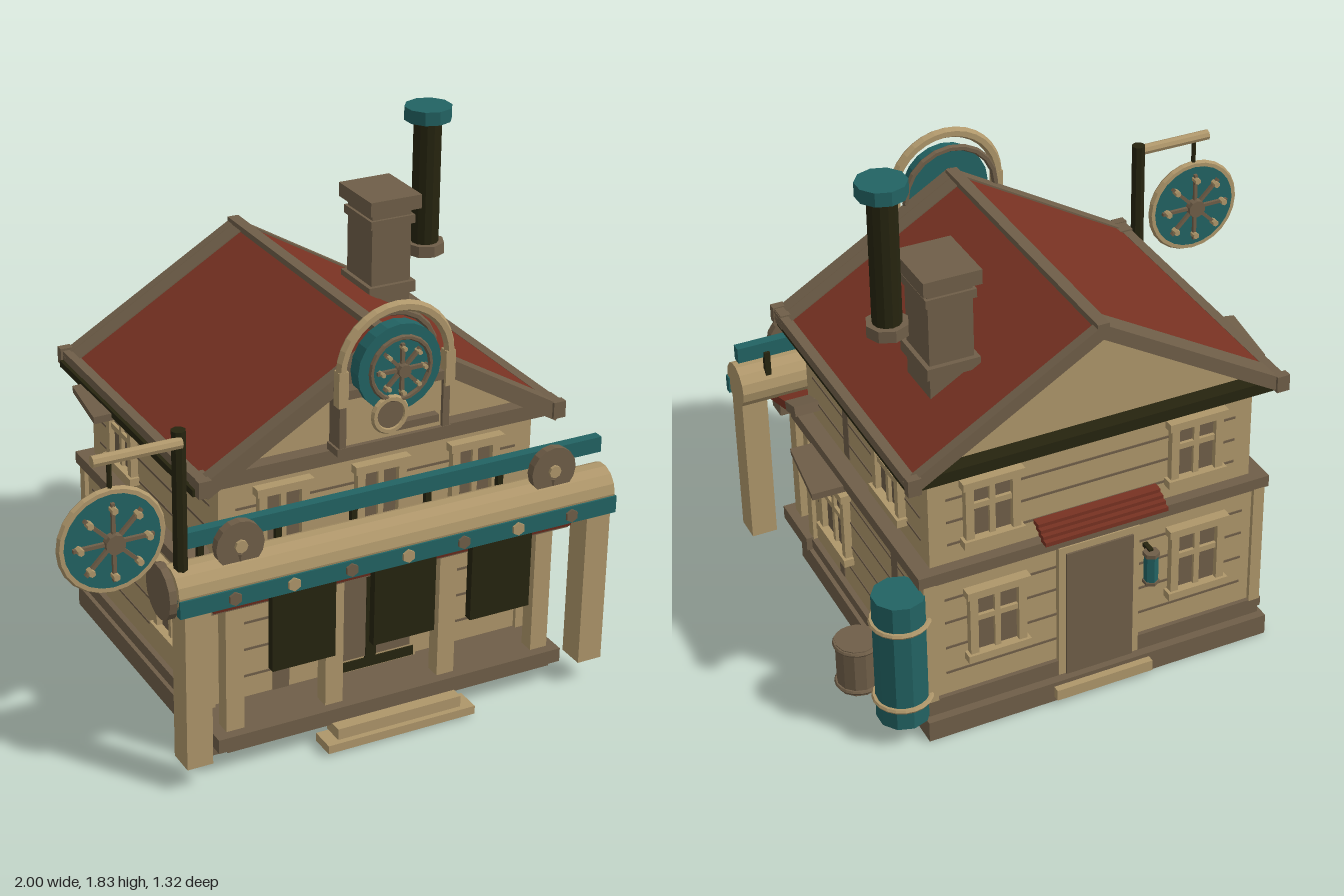
import * as THREE from 'three';

const mat = (name, color, flat = true) => {
  const m = new THREE.MeshStandardMaterial({ color, flatShading: flat });
  m.name = name;
  return m;
};

export function createModel() {
  const tan = mat('tan wood', 0xae966a), brown = mat('brown wood', 0x6f5e48), dark = mat('dark iron', 0x26240f);
  const teal = mat('teal paint', 0x226363), red = mat('red roof', 0x783222);
  const model = new THREE.Group();
  const CX = 0.175; // house centre line

  const add = (name, geo, m, x, y, z, parent = model) => {
    const mesh = new THREE.Mesh(geo, m);
    mesh.name = name;
    mesh.position.set(x, y, z);
    parent.add(mesh);
    return mesh;
  };
  // box given by its limits on each axis
  const box = (name, m, x0, x1, y0, y1, z0, z1, parent) =>
    add(name, new THREE.BoxGeometry(x1 - x0, y1 - y0, z1 - z0), m, (x0 + x1) / 2, (y0 + y1) / 2, (z0 + z1) / 2, parent);
  const cyl = (name, m, r, h, x, y, z, axis = 'y', sides = 12, parent = model, r2 = r) => {
    const c = add(name, new THREE.CylinderGeometry(r, r2, h, sides), m, x, y, z, parent);
    if (axis === 'x') c.rotation.z = Math.PI / 2;
    if (axis === 'z') c.rotation.x = Math.PI / 2;
    return c;
  };
  const torus = (name, m, r, t, x, y, z, parent = model, arc = Math.PI * 2, seg = 20) =>
    add(name, new THREE.TorusGeometry(r, t, 6, seg, arc), m, x, y, z, parent);
  const placed = (name, x, y, z, ry = 0) => {
    const g = new THREE.Group();
    g.name = name;
    g.position.set(x, y, z);
    g.rotation.y = ry;
    model.add(g);
    return g;
  };

  // foundation, deck and steps
  box('foundation', brown, -0.445, 0.795, 0, 0.075, -0.63, 0.475);
  box('deck', brown, -0.47, 0.81, 0.09, 0.14, 0.38, 0.6);
  box('deckCore', brown, -0.43, 0.78, 0.07, 0.1, -0.6, 0.58);
  box('wallSill', brown, -0.44, 0.79, 0.1, 0.135, -0.6, 0.4);
  box('lowerStep', tan, -0.1, 0.45, 0.01, 0.04, 0.56, 0.65);
  box('upperStep', tan, -0.055, 0.405, 0.04, 0.08, 0.55, 0.63);
  box('backStep', tan, 0.0, 0.35, 0.02, 0.06, -0.655, -0.6);

  // walls and belt course
  box('lowerWalls', tan, -0.42, 0.77, 0.1, 0.59, -0.585, 0.4);
  box('upperWalls', tan, -0.395, 0.745, 0.62, 0.98, -0.56, 0.45);
  box('beltCourse', brown, -0.45, 0.8, 0.588, 0.63, -0.6, 0.48);
  for (const x of [-0.415, 0.765]) for (const z of [-0.58, 0.395])
    box('cornerPost', tan, x - 0.02, x + 0.02, 0.13, 0.59, z - 0.02, z + 0.02);

  // plank seams on all sides
  const seam = (y, x0, x1, z0, z1) => {
    box('plankSeam', brown, x0 - 0.003, x1 + 0.003, y - 0.004, y + 0.004, z0 + 0.06, z1 - 0.06);
    box('plankSeam', brown, x0 + 0.06, x1 - 0.06, y - 0.004, y + 0.004, z0 - 0.003, z1 + 0.003);
  };
  [0.22, 0.32, 0.42, 0.51].forEach(y => seam(y, -0.42, 0.77, -0.585, 0.4));
  [0.7, 0.785, 0.87].forEach(y => seam(y, -0.395, 0.745, -0.56, 0.45));

  // worn patches
  box('wallPatch', brown, 0.74, 0.748, 0.64, 0.96, 0.08, 0.125);
  box('wallPatch', brown, 0.765, 0.773, 0.26, 0.58, -0.36, -0.31);
  box('wallPatch', brown, 0.765, 0.773, 0.14, 0.3, 0.12, 0.16);
  box('wallPatch', brown, -0.18, -0.12, 0.14, 0.24, 0.396, 0.404);

  // windows with frame, cross bars and sill
  const windowAt = (x, y, z, ry, w, h) => {
    const g = placed('window', x, y, z, ry), a = w / 2, b = h / 2;
    box('pane', brown, -a, a, -b, b, -0.002, 0.006, g);
    for (const s of [-1, 1]) {
      box('frameSide', tan, s * a - 0.014, s * a + 0.014, -b, b, 0, 0.026, g);
      box('frameRail', tan, -a - 0.025, a + 0.025, s * b - 0.014, s * b + 0.014, 0, 0.036, g);
    }
    box('mullion', tan, -0.01, 0.01, -b, b, 0, 0.018, g);
    box('crossBar', tan, -a, a, 0.01, 0.03, 0, 0.018, g);
  };
  for (const dx of [-0.35, 0, 0.35]) windowAt(CX + dx, 0.815, 0.45, 0, 0.15, 0.22);
  for (const dx of [-0.36, 0.36]) {
    windowAt(CX + dx, 0.395, -0.585, Math.PI, 0.17, 0.25);
    windowAt(CX + dx, 0.81, -0.56, Math.PI, 0.16, 0.22);
  }
  for (const s of [-1, 1]) {
    windowAt(CX + s * 0.595, 0.395, 0.155, s * Math.PI / 2, 0.2, 0.26);
    windowAt(CX + s * 0.57, 0.81, -0.28, s * Math.PI / 2, 0.18, 0.22);
  }
  // small shades over side windows
  box('rightShade', brown, 0.75, 0.89, 0.57, 0.594, 0.015, 0.295).rotation.set(0, -0.12, -0.08);
  box('leftShade', brown, -0.54, -0.39, 0.955, 0.98, -0.41, -0.15).rotation.set(0, -0.12, 0.08);

  // front doors
  box('doorFrame', tan, 0, 0.35, 0.14, 0.585, 0.39, 0.415);
  for (const s of [-1, 1]) box('doorLeaf', brown, CX + s * 0.085 - 0.065, CX + s * 0.085 + 0.065, 0.19, 0.56, 0.4, 0.421);
  box('doorGap', dark, CX - 0.02, CX + 0.02, 0.18, 0.56, 0.41, 0.422);
  box('doorFoot', dark, 0.01, 0.34, 0.145, 0.18, 0.41, 0.42);

  // back door with red canopy
  box('backDoorFrame', tan, 0.03, 0.32, 0.08, 0.59, -0.605, -0.58);
  box('backDoor', brown, 0.055, 0.295, 0.08, 0.565, -0.612, -0.59);
  for (let i = 0; i < 4; i++)
    box('backCanopy', red, -0.045, 0.39, 0.655 + i * 0.012, 0.67 + i * 0.012, -0.655 + i * 0.018, -0.62 + i * 0.018);

  // lanterns
  for (const [x, y, z, s] of [[0.73, 0.455, 0.45, 1], [0.0, 0.43, -0.63, -1]]) {
    cyl('lantern', teal, 0.024, 0.1, x, y, z, 'y', 6);
    cyl('lanternCap', brown, 0.028, 0.015, x, y + 0.055, z, 'y', 6);
    cyl('lanternBase', brown, 0.028, 0.012, x, y - 0.055, z, 'y', 6);
    box('lanternBracket', dark, x - 0.008, x + 0.008, y + 0.055, y + 0.07, Math.min(z, z - s * 0.06), Math.max(z, z - s * 0.06));
  }

  // porch columns, sloped roof, beam and posts
  for (const x of [-0.395, -0.038, 0.38, 0.745]) box('porchColumn', tan, x - 0.032, x + 0.032, 0.14, 0.62, 0.51, 0.565);
  box('porchRoof', red, -0.48, 0.83, 0.634, 0.665, 0.39, 0.6).rotation.x = 0.3;
  box('porchRoofEdge', brown, -0.482, 0.832, 0.665, 0.7, 0.345, 0.44).rotation.x = 0.3;
  box('porchLintel', brown, -0.48, 0.83, 0.59, 0.635, 0.5, 0.575);
  cyl('porchBeam', tan, 0.078, 1.58, 0.17, 0.717, 0.567, 'x', 14);
  cyl('beamEndCap', brown, 0.092, 0.03, -0.63, 0.7, 0.54, 'x', 14);
  for (const x of [-0.555, 0.905]) box('bigPost', tan, x - 0.045, x + 0.045, 0.09, 0.71, 0.543, 0.64);
  box('fasciaStrip', teal, -0.62, 0.965, 0.65, 0.71, 0.625, 0.65);
  for (let i = 0; i < 7; i++) cyl('fasciaStud', i % 2 ? tan : brown, 0.023, 0.014, -0.435 + i * 0.204, 0.68, 0.652, 'z', 6);
  box('upperStrip', teal, -0.56, 0.96, 0.83, 0.885, 0.515, 0.55);
  for (let i = 0; i < 6; i++) box('stripSupport', dark, -0.5 + i * 0.27, -0.48 + i * 0.27, 0.76, 0.85, 0.505, 0.525);
  for (const x of [-0.395, 0.74]) {
    cyl('roundel', brown, 0.083, 0.03, x, 0.835, 0.595, 'z', 16);
    cyl('roundelHub', tan, 0.022, 0.03, x, 0.835, 0.605, 'z', 8);
    cyl('roundelStem', brown, 0.02, 0.09, x, 0.76, 0.595, 'y', 6, model, 0.008);
  }
  // hanging cloths
  for (const x of [-0.19, 0.173, 0.532]) box('hangingCloth', dark, x - 0.112, x + 0.112, 0.375, 0.655, 0.615, 0.645);

  // gable walls
  const tri = new THREE.Shape([new THREE.Vector2(-0.6, 0), new THREE.Vector2(0.6, 0), new THREE.Vector2(0, 0.36)]);
  add('gable', new THREE.ExtrudeGeometry(tri, { depth: 0.99, bevelEnabled: false }), tan, CX, 0.98, -0.55);
  box('frontGableBeam', brown, -0.485, 0.83, 0.975, 1.025, 0.43, 0.49);
  box('backGableBeam', dark, -0.47, 0.82, 0.965, 1.005, -0.605, -0.55);

  // roof slabs: boxes lying along each slope
  const slope = 0.5315, len = 0.76;
  const slab = (name, m, s, z0, z1, thick, lift = 0) => {
    const g = placed(name, CX, 1.385, 0);
    g.rotation.z = -s * slope;
    box(name, m, s > 0 ? 0 : -len, s > 0 ? len : 0, lift - thick, lift, z0, z1, g);
  };
  for (const s of [-1, 1]) {
    slab('roofSlab', red, s, -0.6, 0.49, 0.03);
    slab('frontRake', brown, s, 0.455, 0.505, 0.055, 0.006);
    slab('backRake', brown, s, -0.62, -0.585, 0.045, 0.006);
    const ex = CX + s * 0.64;
    box('eaveBoard', brown, ex - 0.017, ex + 0.017, 0.985, 1.02, -0.62, 0.5);
    box('eaveUnderside', dark, ex - 0.03, ex + 0.012, 0.965, 0.988, -0.6, 0.48);
    for (const z of [-0.615, 0.5]) box('eaveEnd', brown, ex - 0.025, ex + 0.02, 0.97, 1.028, z - 0.015, z + 0.015);
  }
  slab('frontRoofBand', brown, 1, 0.4, 0.5, 0.03, 0.004);
  slab('backRoofBand', brown, -1, -0.61, -0.52, 0.03, 0.004);
  box('ridgeBeam', brown, CX - 0.02, CX + 0.02, 1.35, 1.395, -0.62, 0.49);

  // chimney
  box('chimneyStack', brown, 0.49, 0.64, 1.08, 1.51, -0.365, -0.19);
  box('chimneyBand', brown, 0.475, 0.655, 1.19, 1.23, -0.382, -0.175);
  box('chimneyNeck', brown, 0.48, 0.65, 1.44, 1.47, -0.375, -0.18);
  box('chimneyCap', brown, 0.47, 0.665, 1.495, 1.545, -0.395, -0.165);

  // stove pipe
  cyl('pipe', dark, 0.048, 0.48, 0.72, 1.55, -0.235);
  cyl('pipeCollar', brown, 0.07, 0.04, 0.72, 1.325, -0.235, 'y', 8);
  cyl('pipeCap', teal, 0.082, 0.047, 0.72, 1.807, -0.235, 'y', 10);

  // tank and barrel beside the house
  cyl('tank', teal, 0.088, 0.48, 0.85, 0.325, -0.553, 'y', 10);
  for (const y of [0.165, 0.465]) torus('tankHoop', tan, 0.092, 0.009, 0.85, y, -0.553).rotation.x = Math.PI / 2;
  cyl('barrel', brown, 0.072, 0.18, 0.918, 0.17, -0.345);
  for (const y of [0.095, 0.25]) torus('barrelHoop', brown, 0.072, 0.008, 0.918, y, -0.345).rotation.x = Math.PI / 2;

  // spoked wheel, decorated on the chosen faces
  const wheel = (g, r, sides) => {
    for (const s of sides) {
      for (let i = 0; i < 8; i++) {
        const a = i * Math.PI / 4, c = Math.cos(a), n = Math.sin(a);
        box('spoke', brown, -r * 0.4, r * 0.4, -0.006, 0.006, -0.006, 0.006, g).position.set(c * r * 0.4, n * r * 0.4, s * 0.02);
        g.children[g.children.length - 1].rotation.z = a;
        cyl('spokeStud', tan, r * 0.07, 0.03, c * r * 0.68, n * r * 0.68, s * 0.026, 'z', 6, g);
      }
      cyl('hub', brown, r * 0.2, 0.03, 0, 0, s * 0.026, 'z', 10, g);
    }
  };

  // hanging sign on its pole
  cyl('signPole', dark, 0.024, 0.48, -0.585, 1.02, 0.58, 'y', 8);
  cyl('signArm', tan, 0.019, 0.29, -0.73, 1.227, 0.6, 'x', 8);
  cyl('signHanger', dark, 0.008, 0.1, -0.82, 1.165, 0.6, 'y', 6);
  const sign = placed('hangingSign', -0.82, 0.955, 0.6);
  cyl('signDisc', teal, 0.165, 0.024, 0, 0, 0, 'z', 24, sign);
  torus('signRim', tan, 0.165, 0.014, 0, 0, 0, sign, Math.PI * 2, 24);
  wheel(sign, 0.165, [1, -1]);

  // gable ornament: backing panel, arch, wheel and crank
  box('ornamentPanel', tan, -0.015, 0.365, 1.04, 1.23, 0.48, 0.535);
  box('panelFoot', brown, -0.03, 0.38, 1.03, 1.055, 0.48, 0.55);
  box('panelTop', brown, -0.02, 0.37, 1.22, 1.25, 0.48, 0.55);
  for (const s of [-1, 1]) {
    box('panelSide', brown, CX + s * 0.185 - 0.012, CX + s * 0.185 + 0.012, 1.04, 1.25, 0.48, 0.548);
    box('archLeg', tan, CX + s * 0.19 - 0.017, CX + s * 0.19 + 0.017, 1.2, 1.32, 0.525, 0.56);
  }
  torus('arch', tan, 0.192, 0.019, CX, 1.31, 0.543, model, Math.PI, 16);
  torus('archBacking', brown, 0.165, 0.012, CX, 1.3, 0.5);
  const badge = placed('gableWheel', CX, 1.305, 0.565);
  cyl('badgeDisc', teal, 0.147, 0.05, 0, 0, -0.02, 'z', 20, badge);
  torus('badgeRing', brown, 0.105, 0.009, 0, 0, 0.012, badge);
  wheel(badge, 0.11, [1]);
  cyl('crankDisc', brown, 0.05, 0.03, 0.14, 1.155, 0.565, 'z', 12);
  torus('crankRing', tan, 0.055, 0.012, 0.14, 1.155, 0.575);
  box('crankBar', brown, 0.14, 0.325, 1.085, 1.11, 0.535, 0.565);
  return model;
}
